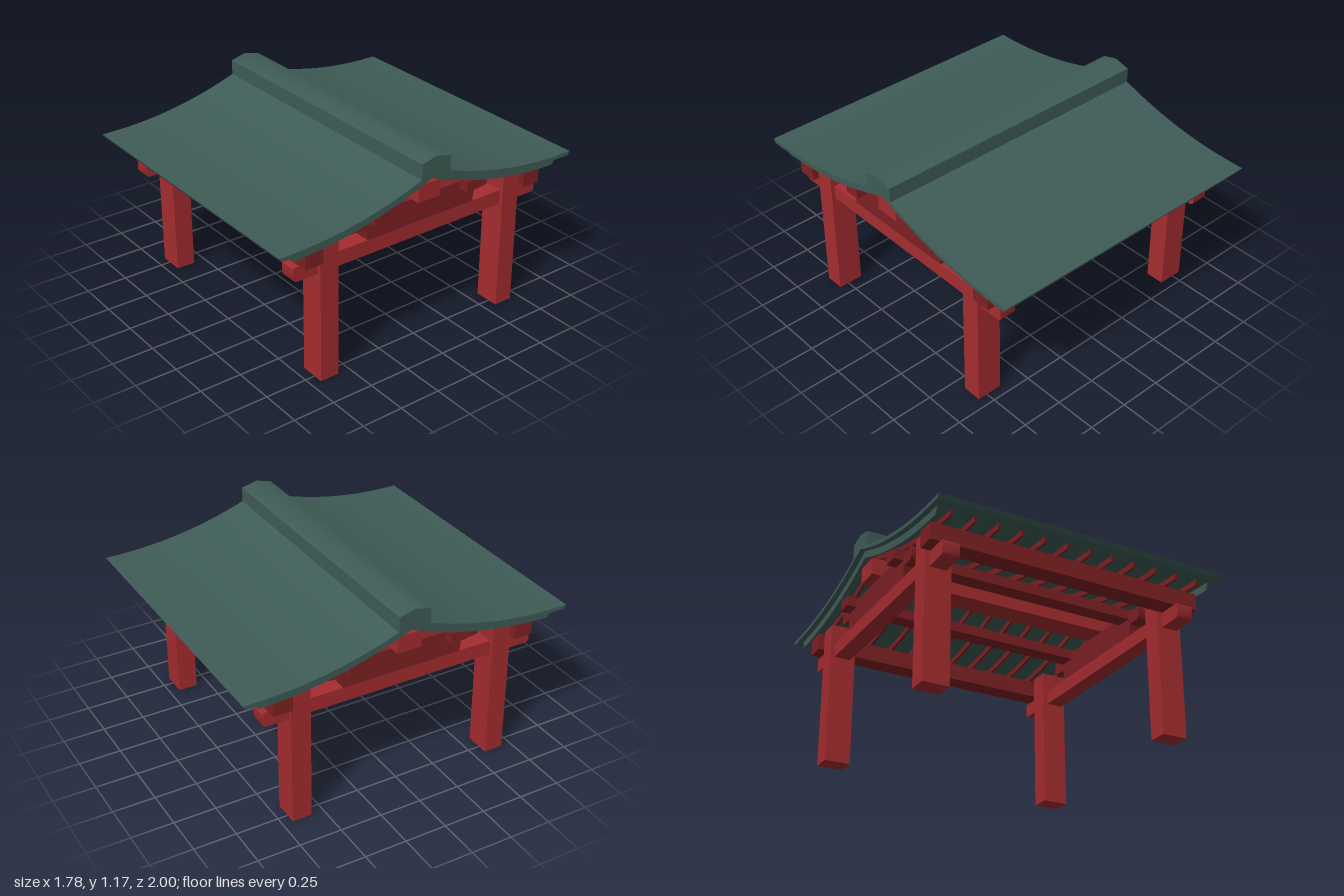
import * as THREE from 'three';
import { toCreasedNormals } from 'three/addons/utils/BufferGeometryUtils.js';

const red = new THREE.MeshStandardMaterial({ name: 'red timber', color: 0xa62c30 });
const darkRed = new THREE.MeshStandardMaterial({ name: 'dark red timber', color: 0x7f2023 });
const green = new THREE.MeshStandardMaterial({ name: 'green roof', color: 0x3f5c57 });

// Height of the underside of the roof sheet at distance z from the ridge
const roofY = (z) => 0.88 + 0.19 * Math.pow(1 - Math.min(Math.abs(z), 0.95) / 0.95, 2.08);

export function createModel() {
  const model = new THREE.Group();
  model.name = 'gateRoof';

  const add = (name, geometry, material) => {
    const mesh = new THREE.Mesh(geometry, material);
    mesh.name = name;
    model.add(mesh);
    return mesh;
  };
  const box = (name, material, x0, x1, y0, y1, z0, z1) =>
    add(name, new THREE.BoxGeometry(x1 - x0, y1 - y0, z1 - z0), material)
      .position.set((x0 + x1) / 2, (y0 + y1) / 2, (z0 + z1) / 2);

  // Extrude a [z, y] outline along x, centred on x
  const profile = (name, material, points, x, width) => {
    const shape = new THREE.Shape(points.map(([z, y]) => new THREE.Vector2(-z, y)));
    let geometry = new THREE.ExtrudeGeometry(shape, { depth: width, bevelEnabled: false });
    geometry.translate(0, 0, -width / 2).rotateY(Math.PI / 2);
    geometry = toCreasedNormals(geometry, 0.6);
    add(name, geometry, material).position.x = x;
  };
  // Mirror the +z half of an outline
  const mirrored = (half) => [...half, ...half.map(([z, y]) => [-z, y]).reverse()];

  // Closed band that follows the roof curve between two offsets
  const band = (end, lowEnd, top, bottom) => {
    const n = 40, points = [];
    for (let i = 0; i <= n; i++) {
      const z = end * (2 * i / n - 1);
      points.push([z, roofY(z) + top]);
    }
    for (let i = n; i >= 0; i--) {
      const z = lowEnd * (2 * i / n - 1);
      points.push([z, roofY(z) + bottom]);
    }
    return points;
  };

  // Roof sheet and ridge cap
  profile('roofSheet', green, band(1, 0.985, 0.021, -0.002), 0, 1.78);
  profile('ridgeCap', green,
    [[0.097, 1.045], [0.097, 1.142], [0, 1.167], [-0.097, 1.142], [-0.097, 1.045], [0, 1.08]], 0, 1.78);

  // Rafters beneath the sheet
  for (let i = 0; i < 12; i++) {
    profile('rafter', darkRed, band(0.92, 0.91, 0, -0.036), (i - 5.5) * 0.141, 0.014);
  }

  for (const s of [-1, 1]) {
    // Bargeboard under each gable edge
    profile('bargeboard', green, band(0.92, 0.9, 0, -0.047), s * 0.853, 0.012);

    // Cross beam with chamfered ends
    profile('crossBeam', red, mirrored([
      [0.822, 0.655], [0.835, 0.66], [0.841, 0.67], [0.841, 0.735], [0.835, 0.742],
    ]), s * 0.735, 0.1);

    // Stacked gable brackets
    profile('lowerBracket', darkRed, mirrored([
      [0.366, 0.74], [0.372, 0.79], [0.378, 0.812],
    ]), s * 0.735, 0.1);
    profile('upperBracket', darkRed, mirrored([
      [0.45, 0.811], [0.463, 0.816], [0.47, 0.828], [0.47, 0.88], [0.46, 0.891],
    ]), s * 0.735, 0.1);

    // Corner posts
    for (const t of [-1, 1]) {
      const x = s * 0.732, z = t * 0.632;
      box('post', red, x - 0.077, x + 0.077, 0, 0.862, z - 0.058, z + 0.058);
    }

    // Eave beam and purlin running along the roof
    const e = s * 0.753, p = s * 0.318;
    box('eaveBeam', darkRed, -0.843, 0.843, 0.745, 0.848, e - 0.057, e + 0.057);
    box('purlin', darkRed, -0.843, 0.843, 0.848, 0.911, p - 0.048, p + 0.048);
  }

  // Ridge beam
  box('ridgeBeam', red, -0.843, 0.843, 0.891, 0.993, -0.075, 0.075);

  return model;
}
